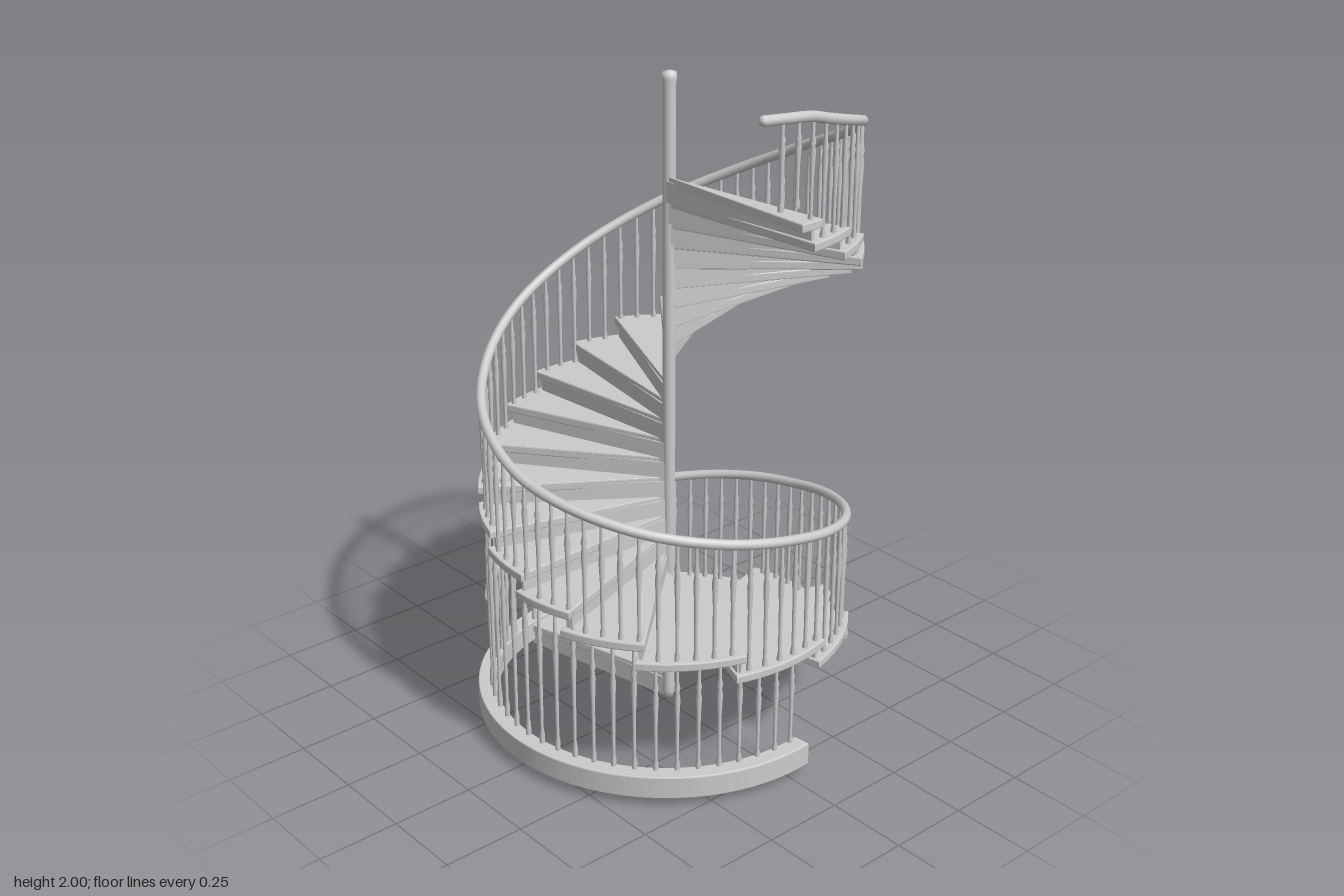
import * as THREE from 'three';

// Spiral angles are in degrees, measured downhill: 0 = +x, 90 = back, 180 = -x, 270 = front
const RAD = Math.PI / 180, CZ = -0.01, RAIL_R = 0.54, TREAD_R = 0.56;
const mat = new THREE.MeshStandardMaterial({ color: 0xcccccc, side: THREE.DoubleSide });

const at = (t, r, y) => new THREE.Vector3(r * Math.cos(t * RAD), y, CZ - r * Math.sin(t * RAD));

// Nose angle and height of each tread, counted from the top; lower treads are wider
const LOW = [218, 236, 254, 272, 290, 313, 343, 375, 405, 435, 467, 512, 554];
const COUNT = 14 + LOW.length;
const nose = i => (i < 14 ? 6 + 15 * i : LOW[i - 14]);
const treadY = i => 1.7 - 0.062 * i;
function treadAt(t) {
  let i = 0;
  while (i < COUNT - 1 && nose(i) < t) i++;
  return treadY(i);
}

// Handrail height by angle
const RAIL = [[-14, 1.985], [0, 1.98], [45, 1.87], [90, 1.69], [135, 1.49], [180, 1.28], [225, 1.08],
  [270, 0.94], [315, 0.85], [360, 0.77], [405, 0.67], [450, 0.58], [495, 0.515], [540, 0.46], [594, 0.385]];
function railY(t) {
  let k = 0;
  while (k < RAIL.length - 2 && RAIL[k + 1][0] < t) k++;
  const [a, ya] = RAIL[k], [b, yb] = RAIL[k + 1];
  return ya + (yb - ya) * (t - a) / (b - a);
}

function add(parent, name, geometry) {
  const m = new THREE.Mesh(geometry, mat);
  m.name = name;
  parent.add(m);
  return m;
}

// Flat sector or ring segment with its top at y
function sector(a, b, r0, r1, y, thick) {
  const s = new THREE.Shape();
  s.absarc(0, 0, r1, a * RAD, b * RAD, false);
  if (r0 > 0) s.absarc(0, 0, r0, b * RAD, a * RAD, true);
  else s.lineTo(0, 0);
  s.closePath();
  const bevel = 0.004;
  return new THREE.ExtrudeGeometry(s, {
    depth: thick - 2 * bevel, curveSegments: r0 > 0 ? 72 : 6,
    bevelEnabled: true, bevelSize: bevel, bevelThickness: bevel, bevelOffset: -bevel, bevelSegments: 2,
  }).rotateX(-Math.PI / 2).translate(0, y - thick + bevel, CZ);
}

export function createModel() {
  const root = new THREE.Group();
  root.name = 'spiralStaircase';

  // Central pole with a rounded top
  const pole = add(root, 'centralPole', new THREE.LatheGeometry([
    [0, 0], [0.016, 0.006], [0.021, 0.03], [0.019, 0.06], [0.019, 1.965], [0.022, 1.975],
    [0.02, 1.994], [0, 2]].map(p => new THREE.Vector2(...p)), 20));
  pole.position.z = -0.022;

  // Treads with closed risers
  const steps = new THREE.Group();
  steps.name = 'steps';
  root.add(steps);
  for (let i = 0; i < COUNT; i++) {
    const y = treadY(i), end = nose(i), start = i ? nose(i - 1) - 3 : -2;
    add(steps, 'tread', sector(start, end, 0, TREAD_R, y, 0.026));
    const riser = add(steps, 'riser', new THREE.BoxGeometry(TREAD_R - 0.02, 0.062, 0.012));
    riser.position.copy(at(end - 1.5, (TREAD_R - 0.02) / 2, y - 0.043));
    riser.rotation.y = (end - 1.5) * RAD;
  }

  // Curved kerb at the foot, starting beside the lowest treads
  add(root, 'baseRing', sector(465, 725, 0.53, 0.583, 0.1, 0.072));

  // Handrail with rounded ends
  const path = new THREE.CatmullRomCurve3(
    Array.from({ length: 77 }, (_, k) => at(-14 + 8 * k, RAIL_R, railY(-14 + 8 * k))));
  add(root, 'handrail', new THREE.TubeGeometry(path, 300, 0.015, 10));
  for (const t of [-14, 594])
    add(root, 'handrailEnd', new THREE.SphereGeometry(0.015, 12, 8)).position.copy(at(t, RAIL_R, railY(t)));

  // Turned balusters: one unit-height profile, stretched to fit
  const profile = new THREE.LatheGeometry([
    [0.008, 0], [0.008, 0.08], [0.005, 0.12], [0.006, 0.5], [0.009, 0.68], [0.006, 0.74],
    [0.009, 0.78], [0.005, 0.83], [0.005, 1]].map(p => new THREE.Vector2(...p)), 8);
  const balusters = new THREE.Group();
  balusters.name = 'balusters';
  root.add(balusters);
  function baluster(t, low, high) {
    const b = add(balusters, 'baluster', profile);
    b.position.copy(at(t, RAIL_R, low));
    b.scale.y = high - low;
  }
  for (let t = -8; t < 592; t += 5.6)
    baluster(t, t < 0 ? 1.74 : t > 512 ? 0.09 : treadAt(t) - 0.02, railY(t));
  // Tall balusters from the kerb to the underside of the turn above
  for (let t = 598; t < 722; t += 6.5) baluster(t, 0.09, treadAt(t - 360) - 0.01);

  return root;
}
